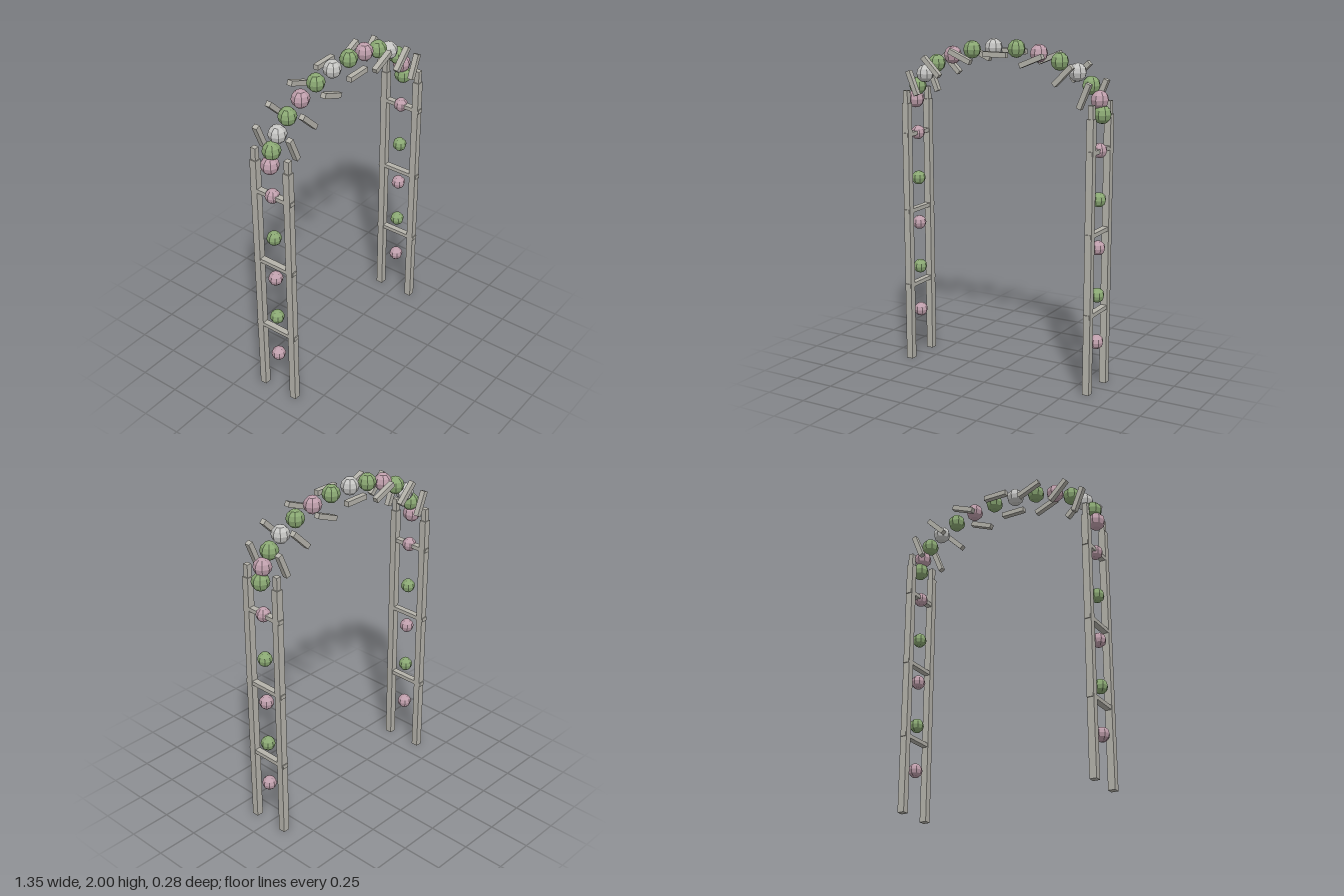
import * as THREE from 'three';

const flat = (name, color) => {
  const m = new THREE.MeshStandardMaterial({ color, flatShading: true });
  m.name = name;
  return m;
};

export function createModel() {
  const arch = new THREE.Group();
  arch.name = 'gardenArch';

  const frame = flat('frameGrey', 0xb5b3ab);
  const pink = flat('blossomPink', 0xbf9fac);
  const green = flat('leafGreen', 0x8aa873);
  const pale = flat('blossomPale', 0xc6c6c4);

  const X = 0.608, Z = 0.113;
  const add = (name, geometry, material, x, y, z, turn = 0) => {
    const mesh = new THREE.Mesh(geometry, material);
    mesh.name = name;
    mesh.position.set(x, y, z);
    mesh.rotation.z = turn;
    arch.add(mesh);
  };

  const post = new THREE.BoxGeometry(0.042, 1.6, 0.042);
  const rung = new THREE.BoxGeometry(0.037, 0.024, 0.28);
  const slat = new THREE.BoxGeometry(0.152, 0.03, 0.032);
  const smallBall = new THREE.SphereGeometry(0.043, 8, 6);
  const largeBall = new THREE.SphereGeometry(0.053, 8, 6);

  // Two ladder sides with climbing blossoms
  for (const s of [-1, 1]) {
    for (const f of [-1, 1]) add('post', post, frame, s * X, 0.8, f * Z);
    for (let i = 1; i <= 3; i++) add('rung', rung, frame, s * X, i * 0.47, 0);
    for (let i = 1; i <= 5; i++) {
      add('climbingBlossom', smallBall, i % 2 ? pink : green, s * X, 0.004 + i * 0.281, 0);
    }
  }

  // Loose slats along both arch curves, tilted inward
  for (let i = 0; i <= 8; i++) {
    const t = (i * Math.PI) / 8;
    for (const f of [-1, 1]) {
      add('archSlat', slat, frame, -X * Math.cos(t), 1.6 + 0.32 * Math.sin(t), f * Z, t - Math.PI / 2);
    }
  }

  // Garland over the top
  const cycle = [pink, green, pale, green];
  for (let i = 0; i < 14; i++) {
    const t = (i * Math.PI) / 13;
    add('garlandBlossom', largeBall, cycle[i % 4], -0.62 * Math.cos(t), 1.612 + 0.338 * Math.sin(t), 0);
  }
  return arch;
}
